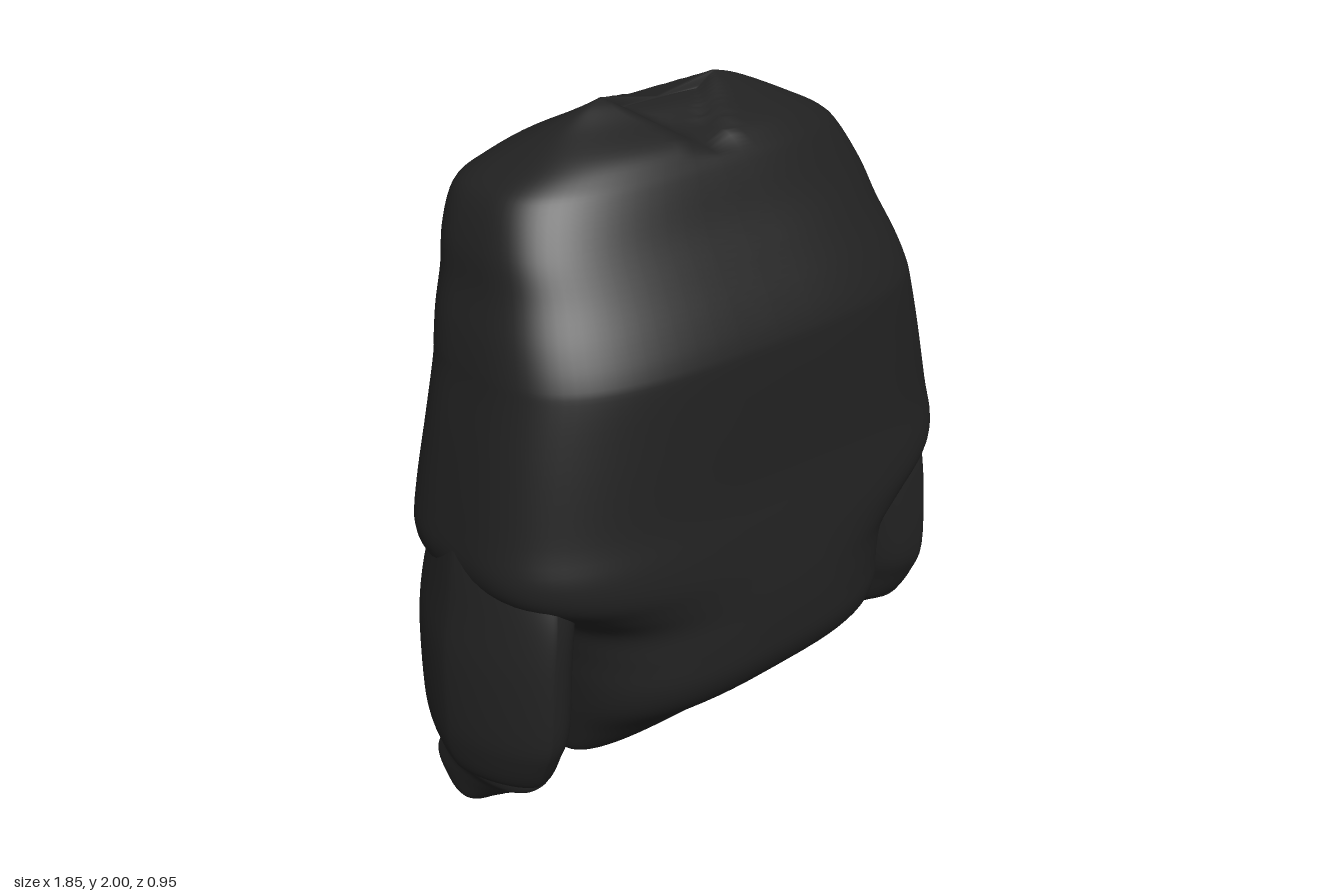
import * as THREE from 'three';

const SEG = 80;

// Closed skin through rounded cross-sections, listed from top to bottom and smoothed in between:
// [y, xMin, xMax, zFront, zBack, squareness of the xMin half, squareness of the xMax half]
function loft(rings, sub, bend) {
  const pos = [], idx = [], sections = [rings[0]];
  const at = i => rings[THREE.MathUtils.clamp(i, 0, rings.length - 1)];
  for (let i = 0; i < rings.length - 1; i++) {
    for (let k = 1; k <= sub; k++) {
      const t = k / sub;
      sections.push(rings[i].map((v, j) => {
        const w = at(i + 1)[j], m0 = (w - at(i - 1)[j]) / 2, m1 = (at(i + 2)[j] - v) / 2;
        return v + t * (m0 + t * (3 * (w - v) - 2 * m0 - m1 + t * (2 * (v - w) + m0 + m1)));
      }));
    }
  }
  const power = (v, n) => Math.sign(v) * Math.abs(v) ** (2 / n);
  for (const [y, x0, x1, zf, zb, nMin, nMax] of sections) {
    for (let s = 0; s < SEG; s++) {
      const a = s / SEG * Math.PI * 2, c = Math.cos(a), n = c < 0 ? nMin : nMax;
      const p = new THREE.Vector3(
        (x0 + x1) / 2 + (x1 - x0) / 2 * power(c, n), y,
        (zf + zb) / 2 + (zf - zb) / 2 * power(Math.sin(a), n));
      if (bend) bend(p, Math.sin(a) < 0);
      pos.push(p.x, p.y, p.z);
    }
  }
  const rows = sections.length;
  for (let r = 0; r < rows - 1; r++) {
    for (let s = 0; s < SEG; s++) {
      const a = r * SEG + s, b = r * SEG + (s + 1) % SEG, c = a + SEG, d = b + SEG;
      idx.push(a, b, c, b, d, c);
    }
  }
  // end caps
  for (const [row, top] of [[0, true], [rows - 1, false]]) {
    const c = pos.length / 3, o = row * SEG, q = sections[row];
    const mid = new THREE.Vector3((q[1] + q[2]) / 2, q[0], (q[3] + q[4]) / 2);
    if (bend) bend(mid, false);
    pos.push(mid.x, mid.y, mid.z);
    for (let s = 0; s < SEG; s++) {
      const a = o + s, b = o + (s + 1) % SEG;
      if (top) idx.push(c, b, a); else idx.push(c, a, b);
    }
  }
  const g = new THREE.BufferGeometry();
  g.setAttribute('position', new THREE.Float32BufferAttribute(pos, 3));
  g.setIndex(idx);
  g.computeVertexNormals();
  return g;
}

// V-shaped neck dent, shallow at the back, and the overhanging back yoke
function shapeTorso(p, back) {
  const { smoothstep } = THREE.MathUtils;
  const yoke = smoothstep(p.y, 1.36, 1.42) * (1 - smoothstep(p.y, 1.68, 1.88));
  if (back) p.z -= 0.063 * yoke * (1 - smoothstep(Math.abs(p.x), 0.42, 0.64));
  const depth = back ? 0.05 : 0.145;
  const dent = p.y - 2 + depth * (1 - Math.abs(p.x) / 0.2);
  if (dent > 0) p.y -= Math.min(0.037, 0.75 * dent);
}

export function createModel() {
  const group = new THREE.Group();
  const fabric = new THREE.MeshStandardMaterial({ color: 0x212121 });
  fabric.name = 'blackFabric';
  const add = (name, geometry) => {
    const m = new THREE.Mesh(geometry, fabric);
    m.name = name;
    group.add(m);
  };

  // torso: [y, right half width, left half width, front z, back z, squareness]
  const torso = [
    [2.0, 0.21, 0.21, -0.10, -0.12, 2.2], [1.985, 0.27, 0.27, -0.06, -0.15, 2.2],
    [1.95, 0.36, 0.36, 0.0, -0.22, 2.4], [1.9, 0.47, 0.47, 0.095, -0.32, 2.6],
    [1.85, 0.57, 0.57, 0.14, -0.375, 2.7], [1.8, 0.62, 0.62, 0.17, -0.41, 2.8],
    [1.7, 0.665, 0.665, 0.22, -0.41, 3], [1.6, 0.69, 0.69, 0.28, -0.41, 3],
    [1.5, 0.725, 0.725, 0.34, -0.41, 3], [1.42, 0.747, 0.747, 0.38, -0.405, 3],
    [1.36, 0.76, 0.76, 0.395, -0.40, 3], [1.2, 0.80, 0.80, 0.41, -0.405, 3],
    [1.0, 0.84, 0.84, 0.425, -0.42, 3.1], [0.88, 0.855, 0.855, 0.443, -0.42, 3.2],
    [0.8, 0.82, 0.83, 0.455, -0.42, 3.1], [0.72, 0.715, 0.74, 0.465, -0.42, 2.8],
    [0.64, 0.61, 0.63, 0.473, -0.42, 2.7], [0.54, 0.588, 0.59, 0.477, -0.42, 2.8],
    [0.44, 0.585, 0.585, 0.47, -0.40, 2.9], [0.35, 0.582, 0.58, 0.42, -0.345, 3],
    [0.25, 0.58, 0.57, 0.31, -0.24, 3], [0.16, 0.57, 0.53, 0.215, -0.13, 3.2],
    [0.13, 0.55, 0.5, 0.18, -0.09, 3.2], [0.12, 0.52, 0.46, 0.15, -0.06, 3.2],
  ];
  add('torso', loft(torso.map(([y, r, l, f, b, n]) => [y, -r, l, f, b, n, n]), 5, shapeTorso));

  // sleeves and cuffs: [y, inner x, outer x, front z, back z, shift of inner x on the left]
  const sleeve = [
    [1.4, 0.5, 0.74, 0.1, -0.2, 0], [1.2, 0.5, 0.79, 0.2, -0.2, 0], [1.0, 0.53, 0.835, 0.26, -0.23, 0],
    [0.88, 0.56, 0.862, 0.29, -0.25, 0], [0.75, 0.595, 0.885, 0.32, -0.275, -0.06], [0.6, 0.617, 0.912, 0.33, -0.28, -0.09],
    [0.4, 0.635, 0.924, 0.33, -0.265, -0.1], [0.3, 0.648, 0.918, 0.295, -0.245, -0.1], [0.23, 0.655, 0.9, 0.26, -0.2, -0.1],
    [0.195, 0.66, 0.875, 0.23, -0.18, -0.09], [0.17, 0.675, 0.84, 0.18, -0.15, -0.03],
  ];
  const cuff = [
    [0.24, 0.68, 0.85, 0.2, -0.15, 0], [0.18, 0.658, 0.855, 0.22, -0.18, -0.01], [0.14, 0.655, 0.842, 0.17, -0.22, -0.015],
    [0.1, 0.655, 0.84, 0.11, -0.25, -0.015], [0.07, 0.655, 0.838, 0.07, -0.24, -0.015], [0.03, 0.66, 0.834, 0.015, -0.18, -0.015],
    [0.01, 0.668, 0.825, -0.01, -0.14, -0.015], [0, 0.68, 0.81, -0.03, -0.11, 0],
  ];
  const place = (list, side, nIn, nOut) => list.map(([y, xi, xo, f, b, shift]) => side > 0
    ? [y, xi + shift, xo, f, b, nIn, nOut]
    : [y, -xo, -xi, f, b, nOut, nIn]);
  for (const [label, side] of [['left', 1], ['right', -1]]) {
    add(label + 'Sleeve', loft(place(sleeve, side, 2.5, 1.5), 4));
    add(label + 'Cuff', loft(place(cuff, side, 2.6, 2.2), 3));
  }
  return group;
}
